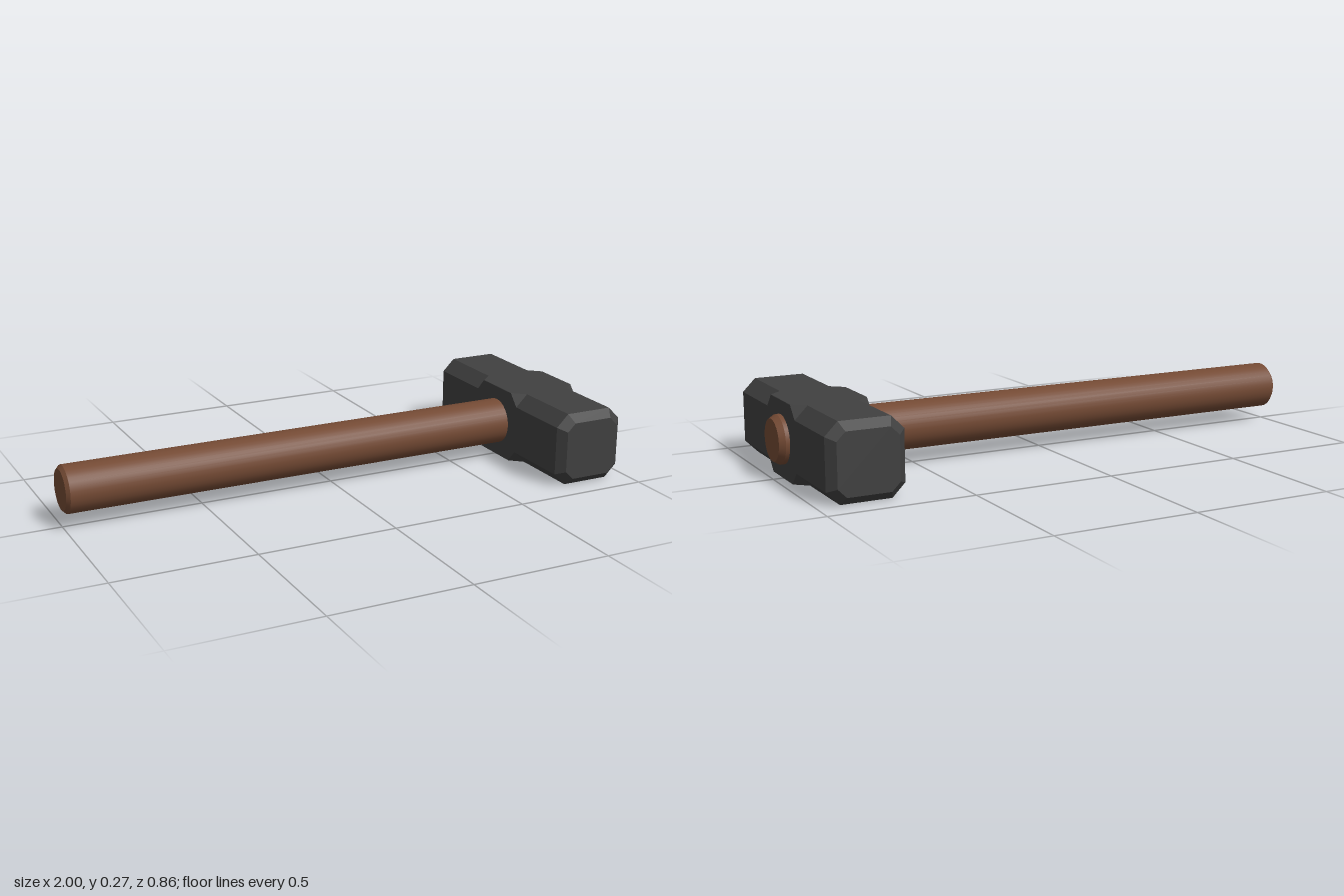
import * as THREE from 'three';

const AXIS_Y = 0.134;

// Octagonal cross-section: a square of given half width with cut corners
function octagon(half, cut, z) {
  const a = half, b = half - cut;
  return [[a, -b], [a, b], [b, a], [-b, a], [-a, b], [-a, -b], [-b, -a], [b, -a]]
    .map(([x, y]) => [x, y, z]);
}

// Skin a row of sections running from -z to +z, closed by flat ends
function loft(sections) {
  const pos = [];
  const tri = (...corners) => corners.forEach((c) => pos.push(...c));
  for (let s = 0; s < sections.length - 1; s++) {
    const p = sections[s], q = sections[s + 1];
    for (let i = 0; i < p.length; i++) {
      const j = (i + 1) % p.length;
      tri(p[i], p[j], q[j]);
      tri(p[i], q[j], q[i]);
    }
  }
  const first = sections[0], last = sections[sections.length - 1];
  for (let i = 1; i < first.length - 1; i++) {
    tri(first[0], first[i + 1], first[i]);
    tri(last[0], last[i], last[i + 1]);
  }
  const geometry = new THREE.BufferGeometry();
  geometry.setAttribute('position', new THREE.Float32BufferAttribute(pos, 3));
  geometry.computeVertexNormals();
  return geometry;
}

export function createModel() {
  const group = new THREE.Group();
  const steel = new THREE.MeshStandardMaterial({ color: 0x404040, flatShading: true });
  const wood = new THREE.MeshStandardMaterial({ color: 0x744a34 });

  // Head: square in the middle, chamfered arms, bevelled striking faces
  const half = [ // z, half width, corner cut
    [0.095, 0.133, 0.001],
    [0.135, 0.133, 0.045],
    [0.4, 0.133, 0.045],
    [0.43, 0.105, 0.03],
  ];
  const sections = [
    ...half.slice().reverse().map(([z, h, c]) => octagon(h, c, -z)),
    ...half.map(([z, h, c]) => octagon(h, c, z)),
  ];
  const head = new THREE.Mesh(loft(sections), steel);
  head.name = 'hammerHead';
  head.position.set(0.833, AXIS_Y, 0);
  group.add(head);

  // Handle: round shaft through the head, with small bevels at both ends
  const r = 0.084, bevel = 0.012;
  const profile = [
    [0, -1], [r - bevel, -1], [r - bevel, -1], [r, -1 + bevel], [r, -1 + bevel],
    [r, 1 - 0.02], [r, 1 - 0.02], [r - bevel, 1], [r - bevel, 1], [0, 1],
  ].map(([x, y]) => new THREE.Vector2(x, y));
  // Each straight run is its own lathe so the rims stay crisp
  const handle = new THREE.Group();
  handle.name = 'handle';
  const names = ['buttCap', 'buttBevel', 'shaft', 'topBevel', 'topCap'];
  names.forEach((name, i) => {
    const part = new THREE.Mesh(new THREE.LatheGeometry(profile.slice(i * 2, i * 2 + 2), 32), wood);
    part.name = name;
    handle.add(part);
  });
  handle.rotation.z = -Math.PI / 2;
  handle.position.y = AXIS_Y;
  group.add(handle);

  return group;
}
